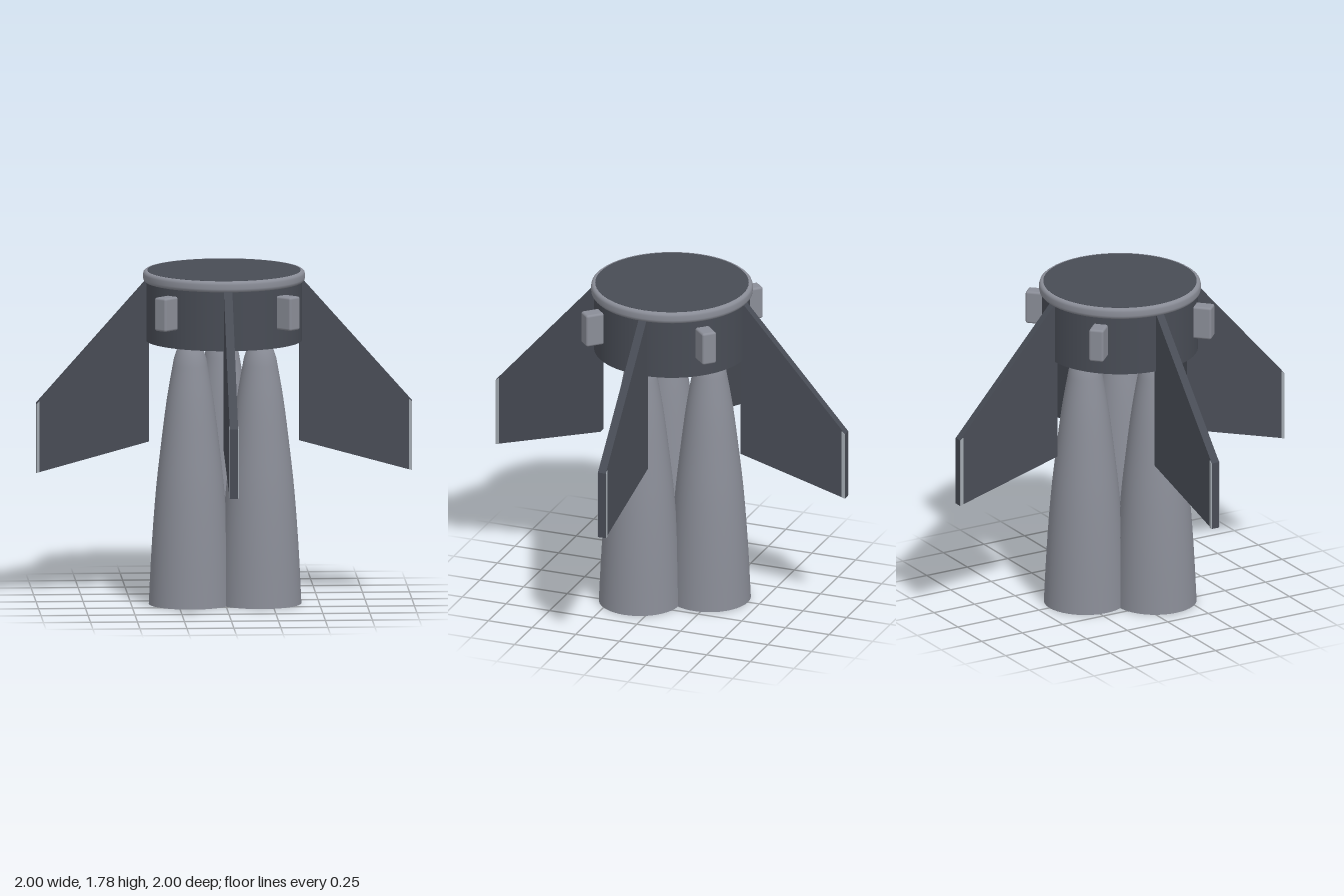
import * as THREE from 'three';
import { RoundedBoxGeometry } from 'three/addons/geometries/RoundedBoxGeometry.js';

const mat = (name, color) => Object.assign(new THREE.MeshStandardMaterial({ color }), { name });

export function createModel() {
  const dark = mat('dark slate', 0x484c55);
  const grey = mat('mid grey', 0x8a8d97);
  const pale = mat('pale grey', 0xa2a9b0);
  const brown = mat('burnt brown', 0x85592a);

  const root = new THREE.Group();
  root.name = 'engineModule';
  const add = (name, geometry, material, parent = root) => {
    const mesh = new THREE.Mesh(geometry, material);
    mesh.name = name;
    parent.add(mesh);
    return mesh;
  };
  const lathe = (pts, segments) =>
    new THREE.LatheGeometry(pts.map(([r, y]) => new THREE.Vector2(r, y)), segments);

  // Drum with a rounded rim around its flat lid
  add('drum', new THREE.CylinderGeometry(0.415, 0.415, 0.36, 64), dark).position.y = 1.58;
  add('rim', lathe([
    [0.405, 1.717], [0.42, 1.717], [0.428, 1.725], [0.43, 1.735],
    [0.43, 1.757], [0.427, 1.768], [0.418, 1.775], [0.405, 1.775],
  ], 64), grey);
  add('lid', new THREE.CylinderGeometry(0.408, 0.408, 0.03, 64), dark).position.y = 1.761;

  // Three nozzles meeting on the axis, two in front and one behind
  const throat = [[0.05, 1.42], [0.05, 1.4]];
  const curve = new THREE.SplineCurve([
    [0.22, 0], [0.205, 0.3], [0.183, 0.6], [0.157, 0.84], [0.124, 1.1], [0.086, 1.32],
  ].map(([r, y]) => new THREE.Vector2(r, y))).getPoints(20).map((p) => [p.x, p.y]);
  const bellGeometry = lathe([...curve, [0.069, 1.37], ...throat.reverse()], 40);
  const mouthGeometry = new THREE.CircleGeometry(0.22, 40).rotateX(Math.PI / 2);
  for (let i = 0; i < 3; i++) {
    const a = Math.PI / 6 + (i * Math.PI * 2) / 3;
    const nozzle = new THREE.Group();
    nozzle.name = 'nozzle';
    nozzle.position.set(Math.cos(a) * 0.215, 0, Math.sin(a) * 0.215);
    add('bell', bellGeometry, grey, nozzle);
    add('nozzleMouth', mouthGeometry, brown, nozzle);
    root.add(nozzle);
  }

  // Flat plate in the x-y plane, extruded evenly to both sides
  const plate = (pts, thickness) => {
    const shape = new THREE.Shape(pts.map(([x, y]) => new THREE.Vector2(x, y)));
    return new THREE.ExtrudeGeometry(shape, { depth: thickness, bevelEnabled: false })
      .translate(0, 0, -thickness / 2);
  };
  const finGeometry = plate([[0.4, 0.86], [1, 0.695], [1, 1.067], [0.42, 1.72], [0.4, 1.72]], 0.045);
  const tipGeometry = plate([[0.982, 0.7], [0.999, 0.696], [0.999, 1.066], [0.982, 1.08]], 0.052);
  const blockGeometry = new RoundedBoxGeometry(0.13, 0.18, 0.08, 3, 0.012);

  for (let i = 0; i < 4; i++) {
    // Fin with a pale tip
    const fin = new THREE.Group();
    fin.name = 'fin';
    fin.rotation.y = (i * Math.PI) / 2;
    add('finPanel', finGeometry, dark, fin);
    add('finTip', tipGeometry, pale, fin);
    root.add(fin);

    // Thruster block between the fins
    const block = new THREE.Group();
    block.name = 'thrusterBlock';
    block.rotation.y = ((i + 0.5) * Math.PI) / 2;
    add('thrusterCasing', blockGeometry, grey, block).position.set(0.445, 1.59, 0);
    root.add(block);
  }
  return root;
}
